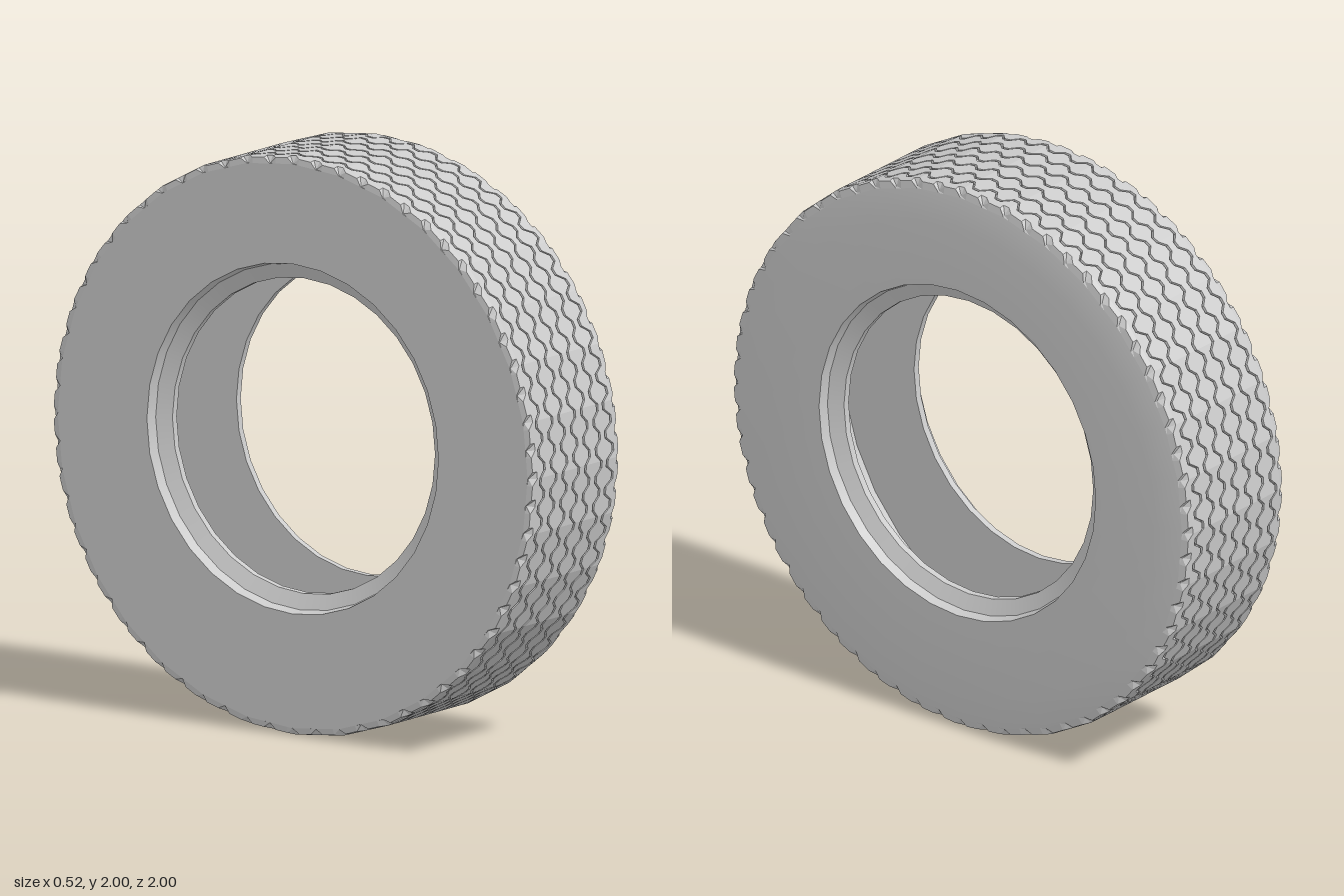
import * as THREE from 'three';

const SEG = 32;          // facets around the tyre
const PITCHES = 64;      // tread pattern repeats
const ROWS = PITCHES * 4;
const HOLE_SHIFT = 0.025; // the opening sits slightly above the tyre's centre

const material = new THREE.MeshStandardMaterial({ color: 0xcccccc, side: THREE.DoubleSide });
const flatMaterial = new THREE.MeshStandardMaterial({ color: 0xcccccc, side: THREE.DoubleSide, flatShading: true });

// Revolve [radius, x] points about the x axis; inner radii follow the raised opening
function ring(name, points) {
  const geo = new THREE.LatheGeometry(points.map(([r, x]) => new THREE.Vector2(r, x)), SEG);
  geo.rotateZ(-Math.PI / 2);
  const p = geo.attributes.position;
  for (let i = 0; i < p.count; i++) {
    const r = Math.hypot(p.getY(i), p.getZ(i));
    const k = THREE.MathUtils.clamp((0.86 - r) / (0.86 - 0.605), 0, 1);
    p.setY(i, p.getY(i) + 1 + HOLE_SHIFT * k);
  }
  const mesh = new THREE.Mesh(geo, material);
  mesh.name = name;
  return mesh;
}

// Columns of one tread row: x position and radius, with zigzag grooves
function treadRow(i) {
  const wave = (n) => [-1, -1, 1, 1][(i + n * 2) % 4];
  const notch = i % 4 === 0 ? 0.02 : 0;
  const cols = [[-0.265, 0.975], [-0.262, 0.996 - notch], [-0.243, 1]];
  const grooves = 7;
  for (let g = 0; g < grooves; g++) {
    const amp = g === grooves - 1 ? 0.018 : 0.013;
    const x = -0.21 + g * 0.066 + amp * wave(g);
    cols.push([x - 0.005, 1], [x - 0.003, 0.988], [x + 0.003, 0.988], [x + 0.005, 1]);
  }
  cols.push([0.222, 1], [0.24, 0.996 - notch], [0.245, 0.97]);
  return cols;
}

// Faceted tread band with grooves and notched shoulders
function tread() {
  const verts = [], index = [];
  const step = (Math.PI * 2) / SEG;
  let n = 0;
  for (let i = 0; i <= ROWS; i++) {
    const a = (i / ROWS) * Math.PI * 2;
    const local = ((i % (ROWS / SEG)) / (ROWS / SEG) - 0.5) * step;
    const facet = Math.cos(step / 2) / Math.cos(local);
    const row = treadRow(i);
    n = row.length;
    for (const [x, r] of row) verts.push(x, 1 + r * facet * Math.cos(a), r * facet * Math.sin(a));
  }
  for (let i = 0; i < ROWS; i++) {
    for (let j = 0; j < n - 1; j++) {
      const a = i * n + j, b = a + n;
      index.push(a, b, a + 1, b, b + 1, a + 1);
    }
  }
  let geo = new THREE.BufferGeometry();
  geo.setAttribute('position', new THREE.Float32BufferAttribute(verts, 3));
  geo.setIndex(index);
  geo = geo.toNonIndexed();
  geo.computeVertexNormals();
  const mesh = new THREE.Mesh(geo, flatMaterial);
  mesh.name = 'tread';
  return mesh;
}

export function createModel() {
  const tyre = new THREE.Group();
  tyre.name = 'tyre';
  tyre.add(tread());

  // Left sidewall bulges gently, right sidewall is flat
  tyre.add(ring('leftSidewall', [[0.97, 0.245], [0.86, 0.26], [0.605, 0.26]]));
  tyre.add(ring('rightSidewall', [[0.605, -0.265], [0.975, -0.265]]));

  // Stepped bead around each opening
  tyre.add(ring('leftBeadStep', [[0.605, 0.26], [0.597, 0.225]]));
  tyre.add(ring('leftBeadSlope', [[0.597, 0.225], [0.545, 0.2]]));
  tyre.add(ring('leftBeadLip', [[0.545, 0.2], [0.545, 0.175]]));
  tyre.add(ring('rightBeadLip', [[0.545, -0.175], [0.545, -0.2]]));
  tyre.add(ring('rightBeadSlope', [[0.545, -0.2], [0.597, -0.225]]));
  tyre.add(ring('rightBeadStep', [[0.597, -0.225], [0.605, -0.265]]));

  // Hollow inside
  tyre.add(ring('leftInnerWall', [[0.545, 0.175], [0.86, 0.175]]));
  tyre.add(ring('innerLiner', [[0.86, 0.175], [0.86, -0.175]]));
  tyre.add(ring('rightInnerWall', [[0.86, -0.175], [0.545, -0.175]]));
  return tyre;
}
